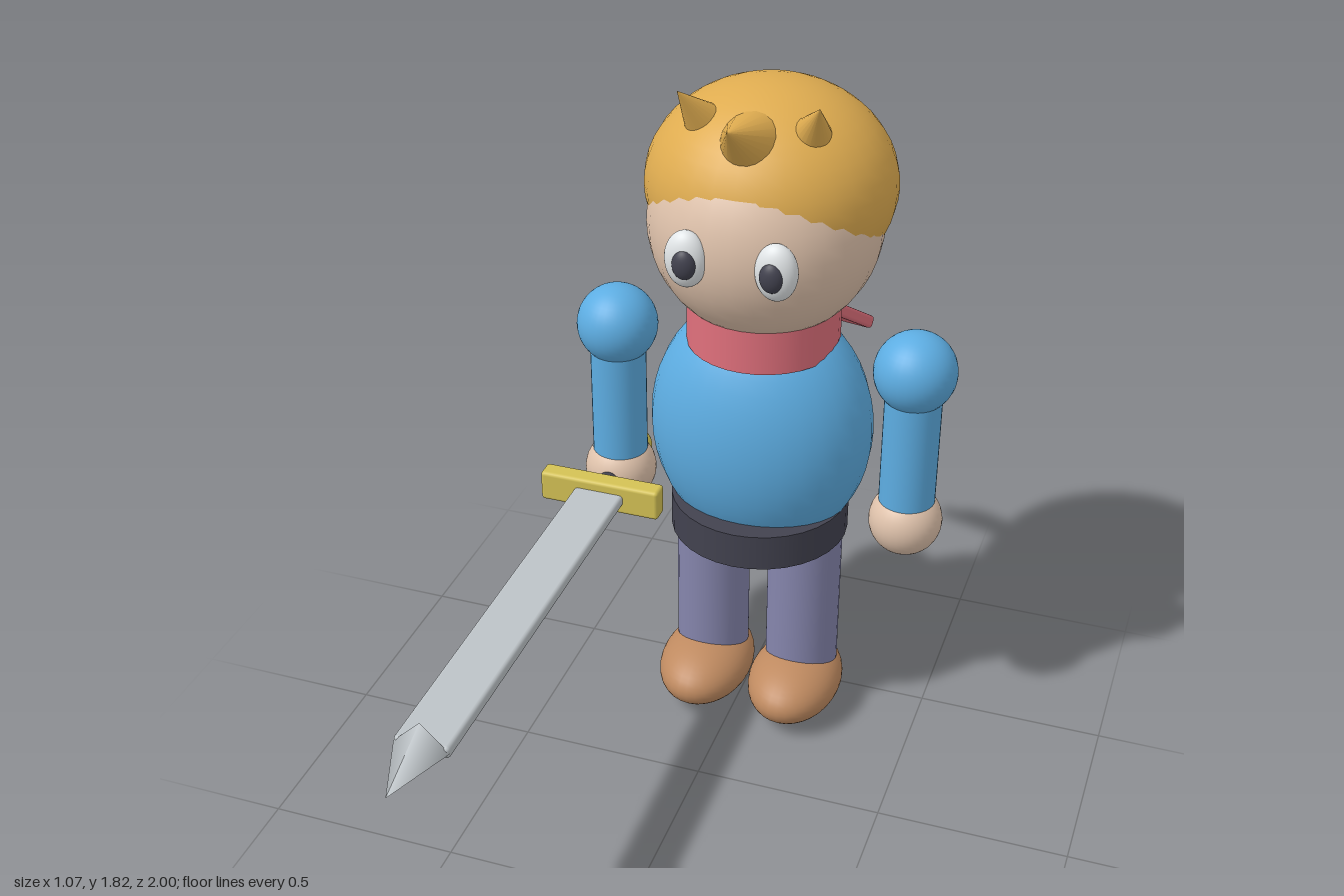
import * as THREE from 'three';
import { RoundedBoxGeometry } from 'three/addons/geometries/RoundedBoxGeometry.js';

const mat = (name, color) => {
  const m = new THREE.MeshStandardMaterial({ color });
  m.name = name;
  return m;
};

export function createModel() {
  const skin = mat('skin', 0xe0c3ac);
  const hair = mat('golden hair', 0xdfac50);
  const blue = mat('blue shirt', 0x5dade2);
  const red = mat('red scarf', 0xe0707c);
  const dark = mat('dark leather', 0x42424f);
  const trousers = mat('grey violet trousers', 0x8585ac);
  const brown = mat('brown shoe', 0xbf8a60);
  const steel = mat('steel', 0xbdc3c7);
  const gold = mat('brass', 0xd4c255);
  const white = mat('eye white', 0xe6eaec);

  const model = new THREE.Group();
  model.name = 'swordsman';
  // The figure's axis; the sword shifts it off the origin
  const CX = 0.03, CZ = -0.425;

  const add = (name, geometry, material, x, y, z) => {
    const mesh = new THREE.Mesh(geometry, material);
    mesh.name = name;
    mesh.position.set(x, y, z);
    model.add(mesh);
    return mesh;
  };
  const ellipsoid = (name, material, pos, rx, ry = rx, rz = rx) =>
    add(name, new THREE.SphereGeometry(1, 32, 24).scale(rx, ry, rz), material, ...pos);
  const cylinder = (name, material, x, z, r, y0, y1) =>
    add(name, new THREE.CylinderGeometry(r, r, y1 - y0, 32), material, x, (y0 + y1) / 2, z);
  const roundedBox = (name, material, w, h, d, x, y, z) =>
    add(name, new RoundedBoxGeometry(w, h, d, 2, 0.01), material, x, y, z);

  // Cone from a base centre to a tip
  const spike = (name, material, base, tip, r, sides = 20) => {
    const a = new THREE.Vector3(...base), b = new THREE.Vector3(...tip);
    const geometry = new THREE.ConeGeometry(r, a.distanceTo(b), sides).rotateX(Math.PI / 2);
    const mid = a.clone().lerp(b, 0.5);
    add(name, geometry, material, mid.x, mid.y, mid.z).lookAt(b);
  };

  // Flat strip of cloth between two points
  const strip = (name, from, to) => {
    const a = new THREE.Vector3(...from), b = new THREE.Vector3(...to);
    const mid = a.clone().lerp(b, 0.5);
    roundedBox(name, red, 0.125, 0.035, a.distanceTo(b), mid.x, mid.y, mid.z).lookAt(b);
  };

  // Head and hair cap
  ellipsoid('head', skin, [CX, 1.455, CZ], 0.295);
  ellipsoid('hair', hair, [CX, 1.535, -0.465], 0.315, 0.26, 0.305);
  spike('frontHairSpike', hair, [CX, 1.69, -0.305], [CX, 1.80, -0.105], 0.085);

  // Torso, belt and scarf
  ellipsoid('torso', blue, [CX, 0.872, CZ], 0.297, 0.36, 0.227);
  cylinder('belt', dark, CX, CZ, 0.238, 0.56, 0.66);
  cylinder('scarf', red, CX, CZ, 0.197, 1.12, 1.237);
  strip('shortScarfTail', [0.09, 1.165, -0.58], [0.148, 0.96, -0.895]);
  strip('longScarfTail', [0.02, 1.145, -0.67], [-0.042, 0.783, -0.978]);

  // Mirrored parts
  for (const [side, s] of [['left', 1], ['right', -1]]) {
    const at = (dx) => CX + s * dx;
    spike(`${side}HairSpike`, hair, [at(0.125), 1.70, -0.355], [at(0.172), 1.82, -0.26], 0.06);
    ellipsoid(`${side}Eye`, white, [at(0.112), 1.453, -0.147], 0.053, 0.073, 0.036);
    ellipsoid(`${side}Pupil`, dark, [at(0.108), 1.45, -0.122], 0.03, 0.039, 0.022);
    ellipsoid(`${side}Shoulder`, blue, [at(0.4), 1.092, CZ], 0.107);
    cylinder(`${side}Arm`, blue, at(0.4), CZ, 0.074, 0.66, 1.09);
    ellipsoid(`${side}Hand`, skin, [at(0.4), 0.65, CZ], 0.097);
    cylinder(`${side}Leg`, trousers, at(0.13), CZ, 0.1, 0.1, 0.6);
    ellipsoid(`${side}Shoe`, brown, [at(0.13), 0.09, -0.373], 0.127, 0.09, 0.187);
  }

  // Sword held forward in the right hand
  const SX = -0.37, SY = 0.652;
  ellipsoid('pommel', gold, [SX, SY, -0.535], 0.047);
  add('swordGrip', new THREE.CylinderGeometry(0.03, 0.03, 0.25, 20).rotateX(Math.PI / 2), dark, SX, SY, -0.41);
  roundedBox('swordGuard', gold, 0.335, 0.086, 0.054, SX, SY, -0.281);
  roundedBox('swordBlade', steel, 0.138, 0.032, 1.09, SX, SY, 0.28);
  spike('swordTip', steel, [SX, SY, 0.82], [SX, SY, 0.998], 0.07, 4);

  return model;
}
